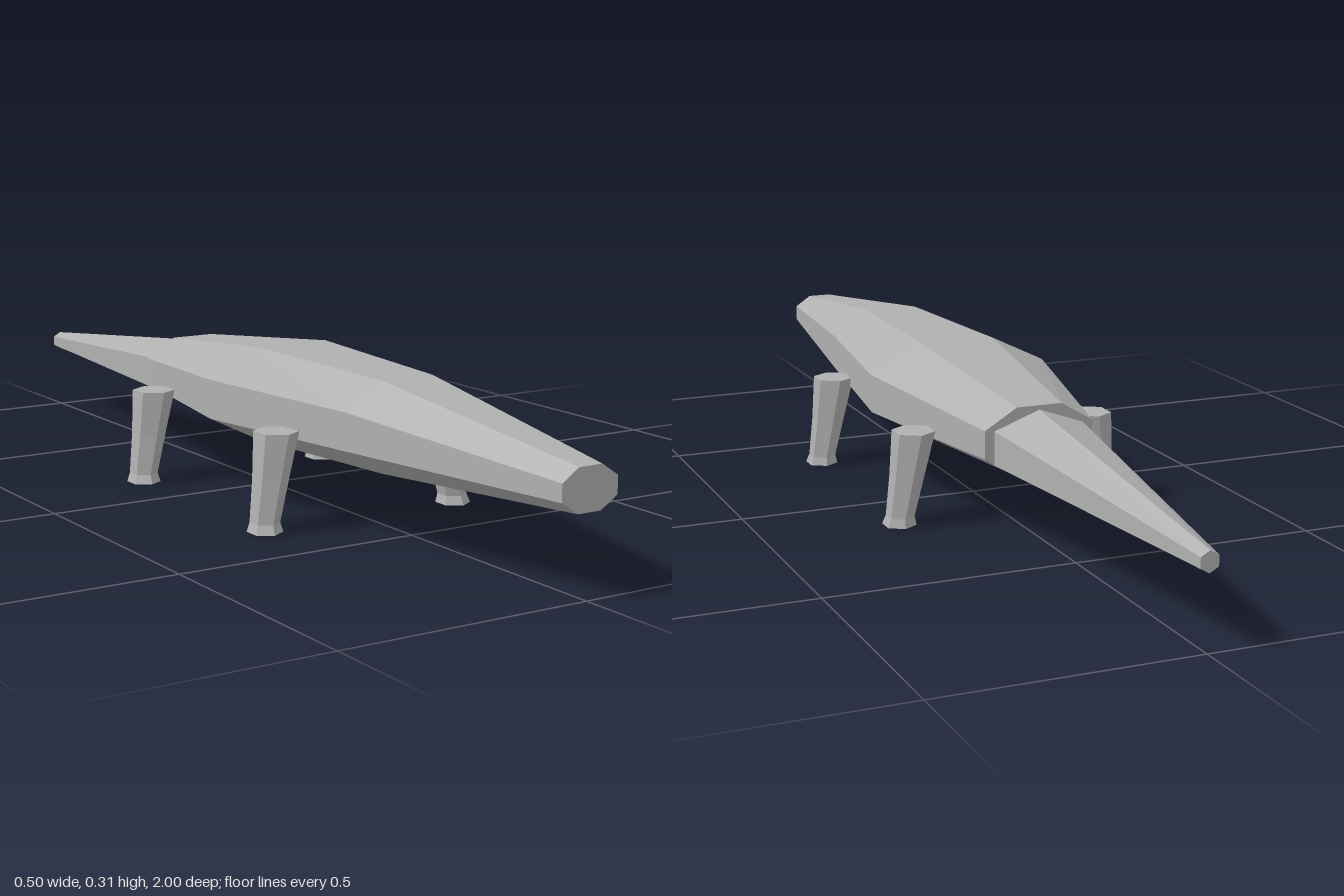
import * as THREE from 'three';

// Lofts n-sided rings stacked along the third axis, closed by flat caps.
// Each section is [w, centreU, centreV, radiusU, radiusV]; place(u, v, w) gives x, y, z.
function loft(sections, n, phase, place) {
  const positions = [];
  const rings = sections.map(([w, cu, cv, ru, rv]) =>
    Array.from({ length: n }, (_, i) => {
      const a = phase + (i / n) * Math.PI * 2;
      return place(cu + ru * Math.cos(a), cv + rv * Math.sin(a), w);
    }));
  const tri = (a, b, c) => positions.push(...a, ...b, ...c);
  for (let j = 0; j < rings.length - 1; j++) {
    for (let i = 0; i < n; i++) {
      const k = (i + 1) % n;
      const a = rings[j][i], b = rings[j][k], c = rings[j + 1][k], d = rings[j + 1][i];
      tri(a, b, c);
      tri(a, c, d);
    }
  }
  const first = rings[0], last = rings[rings.length - 1];
  for (let i = 1; i < n - 1; i++) {
    tri(first[0], first[i + 1], first[i]);
    tri(last[0], last[i], last[i + 1]);
  }
  const geometry = new THREE.BufferGeometry();
  geometry.setAttribute('position', new THREE.Float32BufferAttribute(positions, 3));
  geometry.computeVertexNormals();
  return geometry;
}

export function createModel() {
  const group = new THREE.Group();
  const grey = new THREE.MeshStandardMaterial({ color: 0xb0b0b0, flatShading: true });
  grey.name = 'grey';
  const add = (name, geometry) => {
    const mesh = new THREE.Mesh(geometry, grey);
    mesh.name = name;
    group.add(mesh);
  };
  const alongZ = (u, v, w) => [u, v, w];
  const alongY = (u, v, w) => [v, w, u];

  // Octagonal body and snout, from rump to nose: z, centre height, half width, half height
  const c8 = Math.cos(Math.PI / 8);
  const body = [
    [-0.33, 0.196, 0.113, 0.068],
    [0.08, 0.21, 0.193, 0.095],
    [0.48, 0.21, 0.138, 0.088],
    [1, 0.193, 0.06, 0.04],
  ].map(([z, y, hw, hh]) => [z, 0, y, hw / c8, hh / c8]);
  add('body', loft(body, 8, Math.PI / 8, alongZ));

  // Six-sided tail with a ridge along the top
  add('tail', loft([
    [-1, 0, 0.16, 0.02, 0.02],
    [-0.325, 0, 0.188, 0.108, 0.068],
  ], 6, Math.PI / 6, alongZ));

  // Four splayed legs with slightly flared feet
  for (const [end, z] of [['front', 0.327], ['back', -0.157]]) {
    for (const [side, s] of [['Left', 1], ['Right', -1]]) {
      const leg = [
        [0, 0.006, 0.221, 0.036],
        [0.018, 0.004, 0.22, 0.03],
        [0.1, 0.002, 0.206, 0.036],
        [0.191, 0, 0.192, 0.045],
      ].map(([y, dz, x, r]) => [y, z + dz, s * x, r, r * 0.96]);
      add(`${end}${side}Leg`, loft(leg, 6, 0, alongY));
    }
  }
  return group;
}
